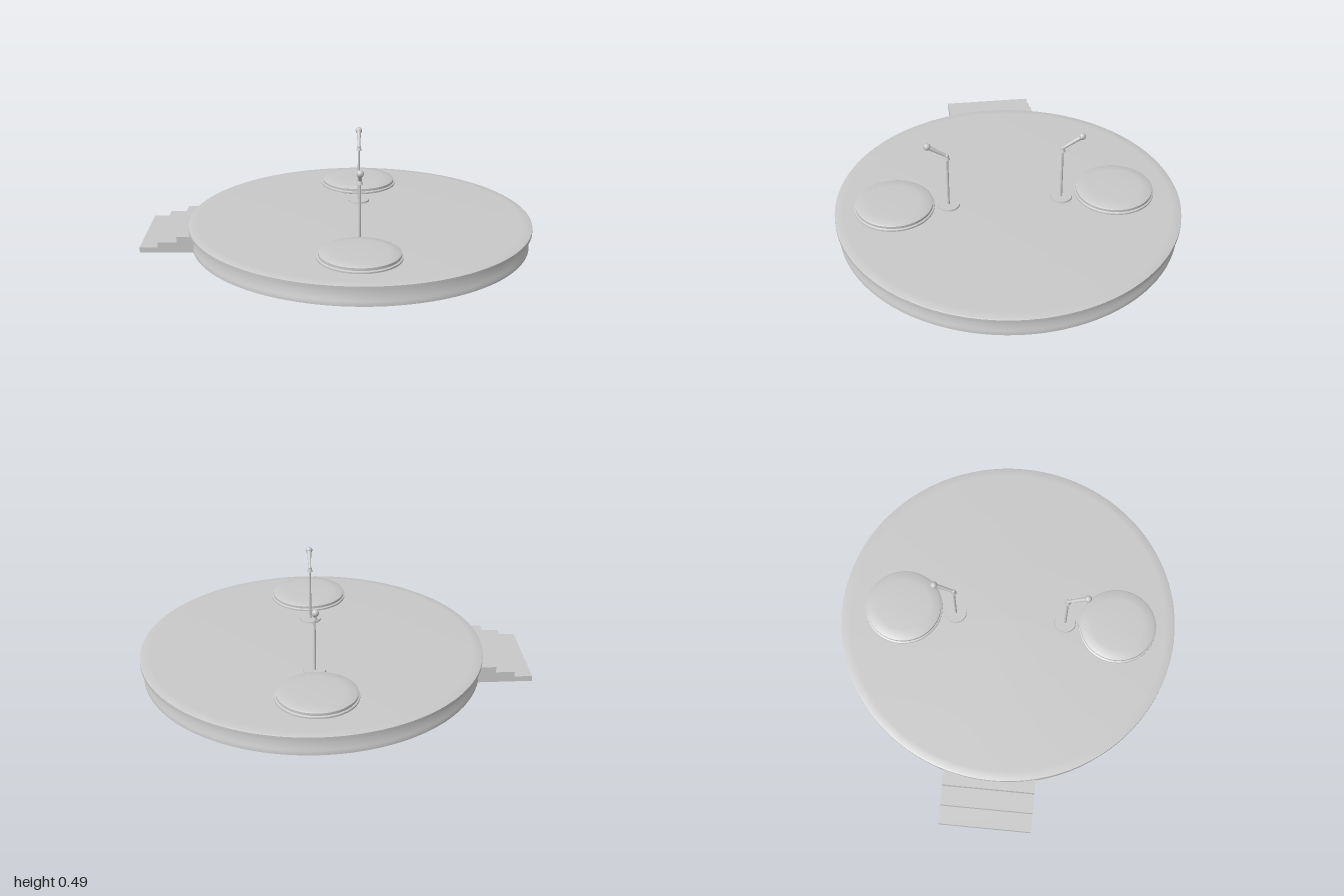
import * as THREE from 'three';
import { toCreasedNormals } from 'three/addons/utils/BufferGeometryUtils.js';

export function createModel() {
  const model = new THREE.Group();
  model.name = 'roundStage';
  const grey = new THREE.MeshStandardMaterial({ color: 0xc8c8c8 });
  grey.name = 'grey';

  const add = (parent, name, geometry, x = 0, y = 0, z = 0) => {
    const mesh = new THREE.Mesh(geometry, grey);
    mesh.name = name;
    mesh.position.set(x, y, z);
    parent.add(mesh);
    return mesh;
  };
  // Turned part from [radius, height] pairs, listed bottom to top
  const turned = (points, segments) => toCreasedNormals(
    new THREE.LatheGeometry(points.map(([r, y]) => new THREE.Vector2(r, y)), segments), 0.6);

  // The whole stage is turned very slightly
  const stage = new THREE.Group();
  stage.name = 'stage';
  stage.position.x = 0.117;
  stage.rotation.y = -0.026;
  model.add(stage);

  // Platform: drum with a skirting band, and an overhanging floor
  add(stage, 'platformDrum', turned([
    [0, 0], [0.868, 0], [0.868, 0.022], [0.863, 0.03], [0.863, 0.088], [0, 0.088],
  ], 96));
  add(stage, 'platformFloor', turned([
    [0, 0.086], [0.882, 0.086], [0.882, 0.104], [0.876, 0.107], [0.835, 0.109], [0, 0.109],
  ], 96));

  // Three steps on the right side, running in under the floor
  const profile = new THREE.Shape([
    [-1.109, 0], [-0.78, 0], [-0.78, 0.085], [-0.922, 0.085],
    [-0.922, 0.055], [-1.018, 0.055], [-1.018, 0.028], [-1.109, 0.028],
  ].map(([x, y]) => new THREE.Vector2(x, y)));
  add(stage, 'steps', new THREE.ExtrudeGeometry(profile, { depth: 0.47, bevelEnabled: false }),
    0, 0, -0.247);

  // Two facing performer places, each a round riser and a microphone
  const riserShape = turned([
    [0, 0.117], [0.192, 0.117], [0.204, 0.122], [0.204, 0.13], [0.196, 0.134],
    [0.196, 0.147], [0.188, 0.152], [0.14, 0.156], [0.07, 0.158], [0, 0.159],
  ], 64);
  const armStart = new THREE.Vector3(0, 0.412, 0.29);
  const armEnd = new THREE.Vector3(0, 0.475, 0.387);
  for (const side of ['front', 'back']) {
    const place = new THREE.Group();
    place.name = side + 'Place';
    place.position.set(-0.005, 0, 0.014);
    place.rotation.y = side === 'front' ? 0 : Math.PI;
    stage.add(place);

    add(place, 'riser', riserShape, 0, 0, 0.565);

    // Microphone stand
    add(place, 'standBase', new THREE.CylinderGeometry(0.055, 0.057, 0.01, 40), 0, 0.113, 0.29);
    add(place, 'standPole', new THREE.CylinderGeometry(0.006, 0.006, 0.29, 16), 0, 0.262, 0.29);
    add(place, 'standCollar', new THREE.CylinderGeometry(0.008, 0.015, 0.02, 20), 0, 0.403, 0.29);
    add(place, 'standJoint', new THREE.SphereGeometry(0.01, 16, 12), 0, 0.413, 0.29);

    // Microphone handle, widening toward the round head
    const dir = armEnd.clone().sub(armStart);
    const mid = armStart.clone().add(armEnd).multiplyScalar(0.5);
    const handle = add(place, 'microphoneHandle',
      new THREE.CylinderGeometry(0.012, 0.007, dir.length(), 20), mid.x, mid.y, mid.z);
    handle.quaternion.setFromUnitVectors(new THREE.Vector3(0, 1, 0), dir.normalize());
    add(place, 'microphoneHead', new THREE.SphereGeometry(0.018, 24, 16),
      armEnd.x, armEnd.y, armEnd.z);
  }
  return model;
}
